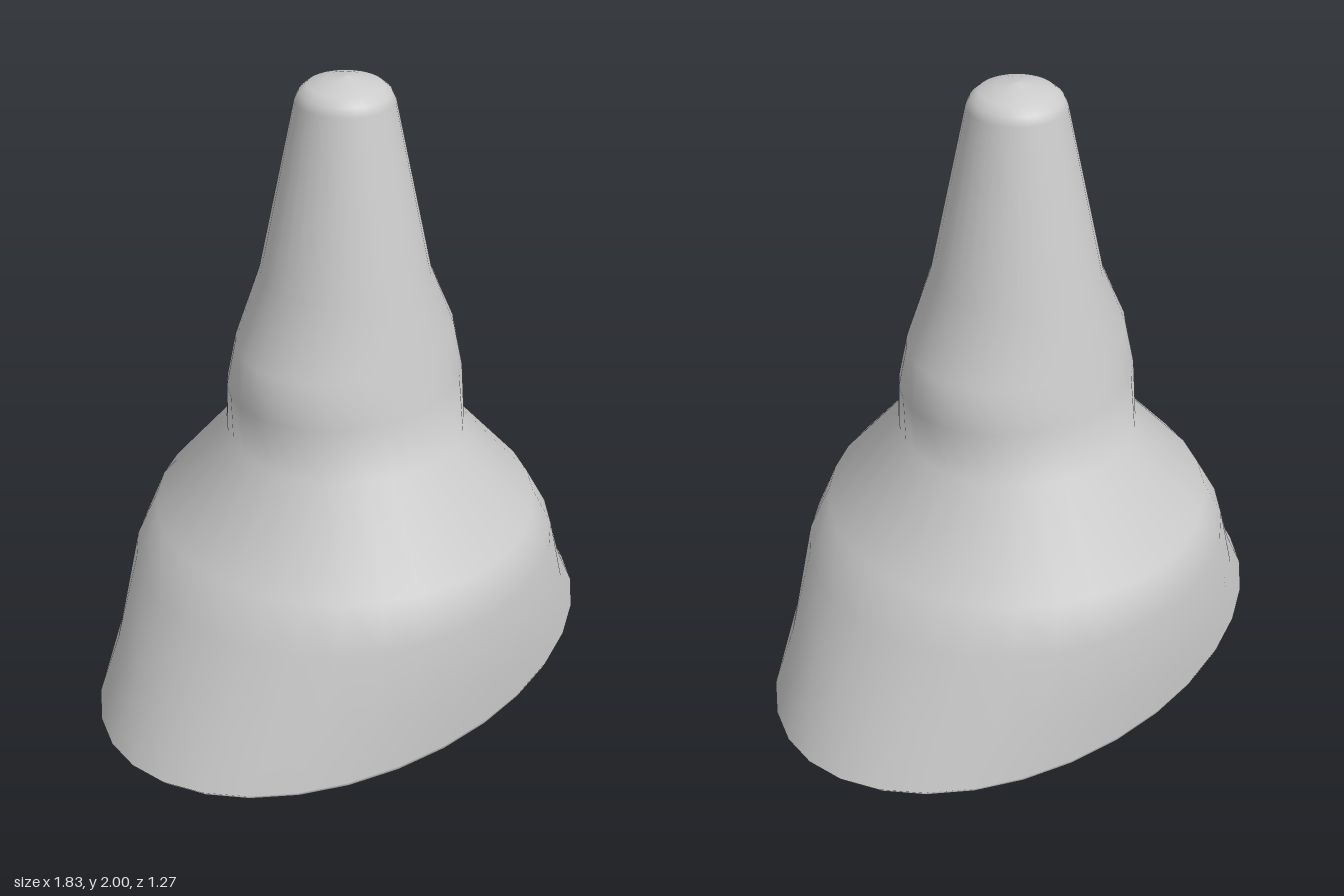
import * as THREE from 'three';

const SIDES = 32;

// Skin a stack of elliptical rings [y, radiusX, radiusZ], listed from top to bottom
function loft(rings) {
  const pos = [], index = [];
  for (const [y, rx, rz] of rings) {
    for (let i = 0; i < SIDES; i++) {
      const a = (i / SIDES) * Math.PI * 2;
      pos.push(rx * Math.cos(a), y, rz * Math.sin(a));
    }
  }
  for (let r = 0; r < rings.length - 1; r++) {
    for (let i = 0; i < SIDES; i++) {
      const j = (i + 1) % SIDES;
      const a = r * SIDES + i, b = r * SIDES + j, c = a + SIDES, d = b + SIDES;
      if (rings[r][1] > 0) index.push(a, b, c);
      index.push(b, d, c);
    }
  }
  const geo = new THREE.BufferGeometry();
  geo.setAttribute('position', new THREE.Float32BufferAttribute(pos, 3));
  geo.setIndex(index);
  geo.computeVertexNormals();
  return geo;
}

export function createModel() {
  const group = new THREE.Group();
  group.name = 'flaredNozzle';

  // Rounded tip, tapering spout and bulging neck (wider in x than in z)
  const neck = [
    [2.0, 0, 0], [1.99, 0.06, 0.06], [1.975, 0.11, 0.11], [1.955, 0.133, 0.133], [1.93, 0.145, 0.145],
    [1.4, 0.253, 0.257], [1.19, 0.358, 0.302], [1.05, 0.385, 0.332], [0.87, 0.367, 0.37],
  ];
  // Oval bell flaring sideways down to the lip
  const bell = [
    [0.6, 0.603, 0.592], [0.46, 0.69, 0.637], [0.2, 0.808, 0.627], [0.035, 0.914, 0.622],
  ];
  // Lip rolled inward around the open base
  const lip = [[0.015, 0.897, 0.615], [0.003, 0.865, 0.59], [0.0, 0.835, 0.56]];

  // One thin shell, hollow and open below
  const shell = new THREE.Mesh(
    loft([...neck, ...bell, ...lip]),
    new THREE.MeshStandardMaterial({ color: 0xcccccc, side: THREE.DoubleSide }),
  );
  shell.name = 'hollowShell';
  group.add(shell);
  return group;
}
